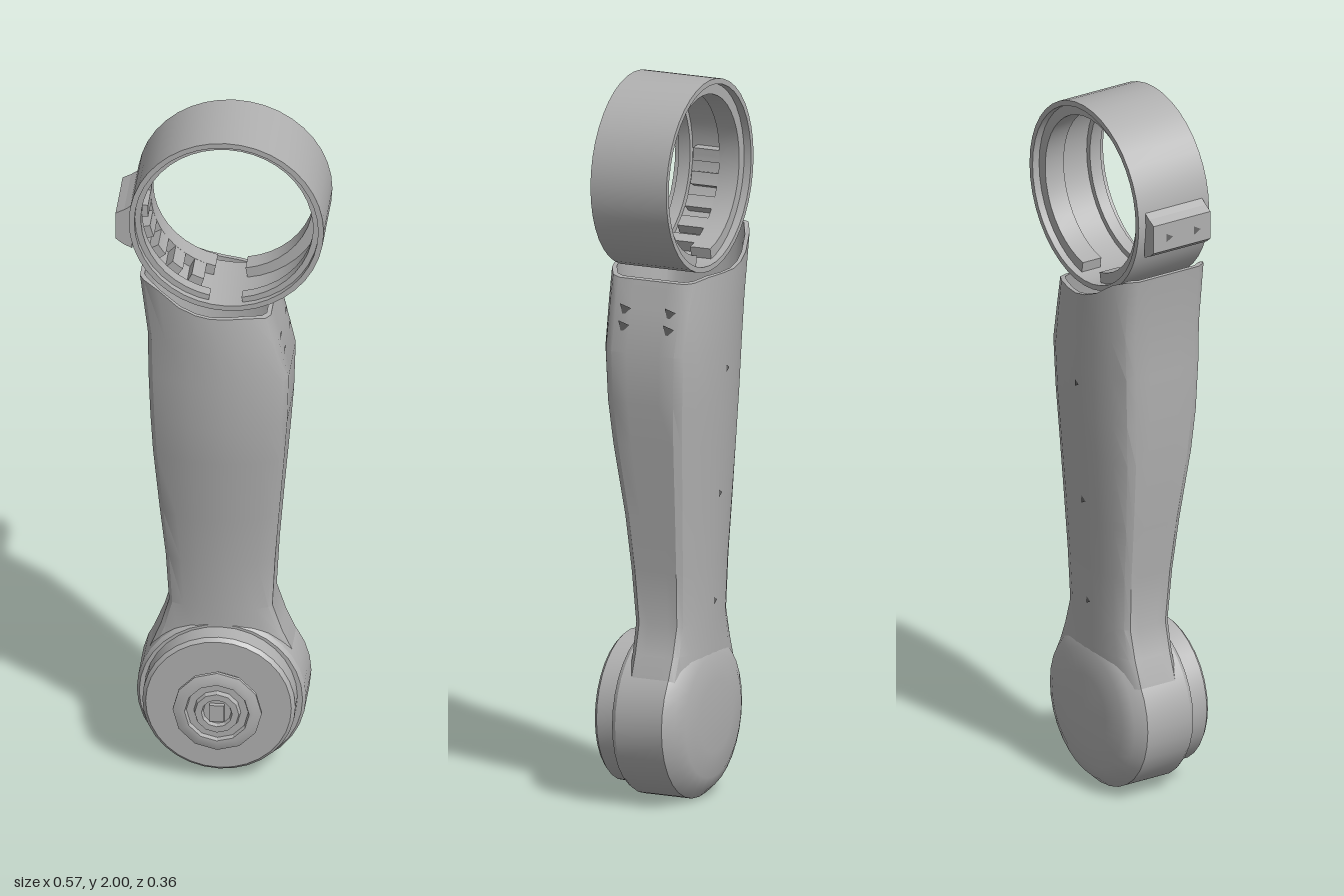
import * as THREE from 'three';
import { toCreasedNormals } from 'three/addons/utils/BufferGeometryUtils.js';

const shell = new THREE.MeshStandardMaterial({ color: 0xb0b0b0, side: THREE.DoubleSide });
shell.name = 'grey shell';
const dark = new THREE.MeshStandardMaterial({ color: 0x686868, side: THREE.DoubleSide });
dark.name = 'dark recess';

const HUB_Y = 0.23, RING_X = 0.018, RING_Y = 1.735;

function part(parent, name, geometry, material = shell) {
  const mesh = new THREE.Mesh(geometry, material);
  mesh.name = name;
  parent.add(mesh);
  return mesh;
}

// Solid of revolution about z, from [radius, z] pairs
function turned(profile, segments, crease = 0.5) {
  const g = new THREE.LatheGeometry(profile.map(([r, z]) => new THREE.Vector2(r, z)), segments);
  g.rotateX(Math.PI / 2);
  return toCreasedNormals(g, crease);
}

// Curved bar between two radii, two depths and two angles
function arcBand(r0, r1, z0, z1, a0, a1, curveSegments) {
  const s = new THREE.Shape();
  s.absarc(0, 0, r1, a0, a1, false);
  s.absarc(0, 0, r0, a1, a0, true);
  const g = new THREE.ExtrudeGeometry(s, { depth: z1 - z0, bevelEnabled: false, curveSegments });
  g.translate(0, 0, z0);
  return toCreasedNormals(g, 0.5);
}

// Arm rows: y, left x, right x, back z, front z
const ROWS = [
  [0.25, -0.215, 0.215, -0.12, 0.06],
  [0.34, -0.2, 0.198, -0.125, 0.065],
  [0.42, -0.168, 0.162, -0.126, 0.068],
  [0.5, -0.145, 0.136, -0.126, 0.07],
  [0.65, -0.153, 0.144, -0.132, 0.083],
  [0.8, -0.168, 0.156, -0.14, 0.1],
  [1.0, -0.184, 0.173, -0.153, 0.135],
  [1.12, -0.19, 0.182, -0.161, 0.15],
  [1.26, -0.195, 0.186, -0.168, 0.157],
  [1.38, -0.196, 0.158, -0.174, 0.159],
  [1.47, -0.218, 0.138, -0.179, 0.16],
];

// Quarter outline, mirrored into a full section
const QUARTER = [[1, 0.3], [1, 0.58], [0.93, 0.72], [0.7, 0.86], [0.38, 0.96], [0.12, 1]];
const flip = (pts, sx, sz) => pts.map(([x, z]) => [x * sx, z * sz]);
const SECTION = [
  ...QUARTER,
  ...flip(QUARTER, -1, 1).reverse(),
  ...flip(QUARTER, -1, -1),
  ...flip(QUARTER, 1, -1).reverse(),
];

// Rim follows the underside of the ring and falls off on one side
function rimY(x) {
  if (x > 0.06) return 1.475 - (x - 0.06) * 0.25;
  const d = Math.min(x - RING_X, 0);
  return Math.min(1.56, RING_Y + 0.005 - Math.sqrt(0.268 ** 2 - d * d));
}

function armGeometry() {
  const top = ROWS[ROWS.length - 1];
  const inset = ([y, l, r, b, f], t) => [y, l + t, r - t, b + t, f - t];
  const rows = [
    ...ROWS.map((row) => [row, row === top]),
    [inset(top, 0.012), true],
    [inset(ROWS[8], 0.015), false],
    [inset(ROWS[6], 0.015), false],
  ];
  const n = SECTION.length, pos = [], index = [];
  for (const [[y, l, r, b, f], rim] of rows) {
    for (const [u, v] of SECTION) {
      const x = (l + r) / 2 + u * (r - l) / 2;
      pos.push(x, rim ? rimY(x) : y, (b + f) / 2 + v * (f - b) / 2);
    }
  }
  for (let j = 0; j < rows.length - 1; j++) {
    for (let i = 0; i < n; i++) {
      const a = j * n + i, b = j * n + (i + 1) % n;
      index.push(a, b + n, b, a, a + n, b + n);
    }
  }
  // Floor closing the hollow
  const last = (rows.length - 1) * n;
  for (let i = 1; i < n - 1; i++) index.push(last, last + i + 1, last + i);
  // Faces run clockwise around y, so reverse every triangle
  for (let k = 0; k < index.length; k += 3) {
    const s = index[k + 1];
    index[k + 1] = index[k + 2];
    index[k + 2] = s;
  }
  const g = new THREE.BufferGeometry();
  g.setAttribute('position', new THREE.Float32BufferAttribute(pos, 3));
  g.setIndex(index);
  // Make the outside face outward whichever way the section turns
  g.computeVertexNormals();
  const k = 8 * n;
  if (g.attributes.normal.getX(k) < 0) {
    index.reverse();
    g.setIndex(index);
    g.computeVertexNormals();
  }
  return toCreasedNormals(g, 0.55);
}

export function createModel() {
  const model = new THREE.Group();
  model.name = 'armLink';

  part(model, 'arm', armGeometry());

  // Round joint housing with a domed back
  const hub = new THREE.Group();
  hub.name = 'joint';
  hub.position.y = HUB_Y;
  model.add(hub);
  part(hub, 'jointHousing', turned([[0, -0.138], [0.1, -0.136], [0.17, -0.128],
    [0.205, -0.112], [0.23, -0.085], [0.23, 0.055], [0.222, 0.068], [0, 0.068]], 32));

  // Front cover disc and stepped knob
  const cover = new THREE.Group();
  cover.name = 'frontCover';
  cover.position.y = 0.007;
  hub.add(cover);
  part(cover, 'coverDisc', turned([[0.208, 0.06], [0.208, 0.122], [0.198, 0.132], [0, 0.132]], 32));
  part(cover, 'knob', turned([[0.105, 0.13], [0.105, 0.152], [0.121, 0.158], [0.121, 0.168],
    [0.1, 0.176], [0.088, 0.176], [0.084, 0.164], [0.064, 0.164], [0.06, 0.178],
    [0.042, 0.178], [0.038, 0.166], [0, 0.166]], 12, 0.4));
  const key = part(cover, 'knobKey', new THREE.BoxGeometry(0.04, 0.05, 0.014));
  key.position.z = 0.172;

  // Clamp ring: thin outer wall, inner flanges open at the bottom
  const ring = new THREE.Group();
  ring.name = 'clampRing';
  ring.position.set(RING_X, RING_Y, 0);
  model.add(ring);
  part(ring, 'ringWall', turned([[0.265, -0.126], [0.265, 0.103], [0.25, 0.103],
    [0.25, -0.126], [0.265, -0.126]], 40));
  const a0 = -Math.PI / 2 + 0.17, a1 = Math.PI * 1.5 - 0.2;
  part(ring, 'backFlange', arcBand(0.22, 0.252, -0.105, -0.045, a0, a1, 20));
  part(ring, 'frontFlange', arcBand(0.234, 0.252, 0.05, 0.085, a0, a1, 20));
  for (let i = 0; i < 5; i++) {
    const a = Math.PI * 0.98 + i * 0.29;
    part(ring, 'innerTooth', arcBand(0.22, 0.252, -0.046, 0.035, a, a + 0.16, 2));
  }

  // Side lug with a narrower outer face
  const lugShape = new THREE.Shape([[-0.24, 1.64], [-0.24, 1.775], [-0.262, 1.76],
    [-0.285, 1.748], [-0.285, 1.668], [-0.265, 1.652]].map(([x, y]) => new THREE.Vector2(x, y)));
  const lug = part(model, 'sideLug', new THREE.ExtrudeGeometry(lugShape, { depth: 0.185, bevelEnabled: false }));
  lug.position.z = -0.103;
  for (const z of [-0.055, 0.035]) {
    const hole = part(model, 'lugHole', new THREE.CircleGeometry(0.014, 3), dark);
    hole.rotation.y = -Math.PI / 2;
    hole.position.set(-0.2865, 1.705, z);
  }

  // Small screw recesses on the slanted shoulder
  const slope = Math.atan2(0.028, 0.12);
  for (const y of [1.33, 1.4 - 0.025]) {
    for (const z of [0.06, -0.075]) {
      const hole = part(model, 'shoulderScrewHole', new THREE.CircleGeometry(0.02, 3), dark);
      hole.rotation.set(0, Math.PI / 2, slope);
      hole.position.set(0.186 - (y - 1.26) * 0.2333 + 0.003, y, z);
    }
  }

  // Screw recesses down the back
  for (const [y, z] of [[0.55, -0.13], [0.85, -0.1455], [1.2, -0.1675]]) {
    const hole = part(model, 'backScrewHole', new THREE.CircleGeometry(0.012, 3), dark);
    hole.rotation.y = Math.PI;
    hole.position.set(-0.005, y, z);
  }
  return model;
}
